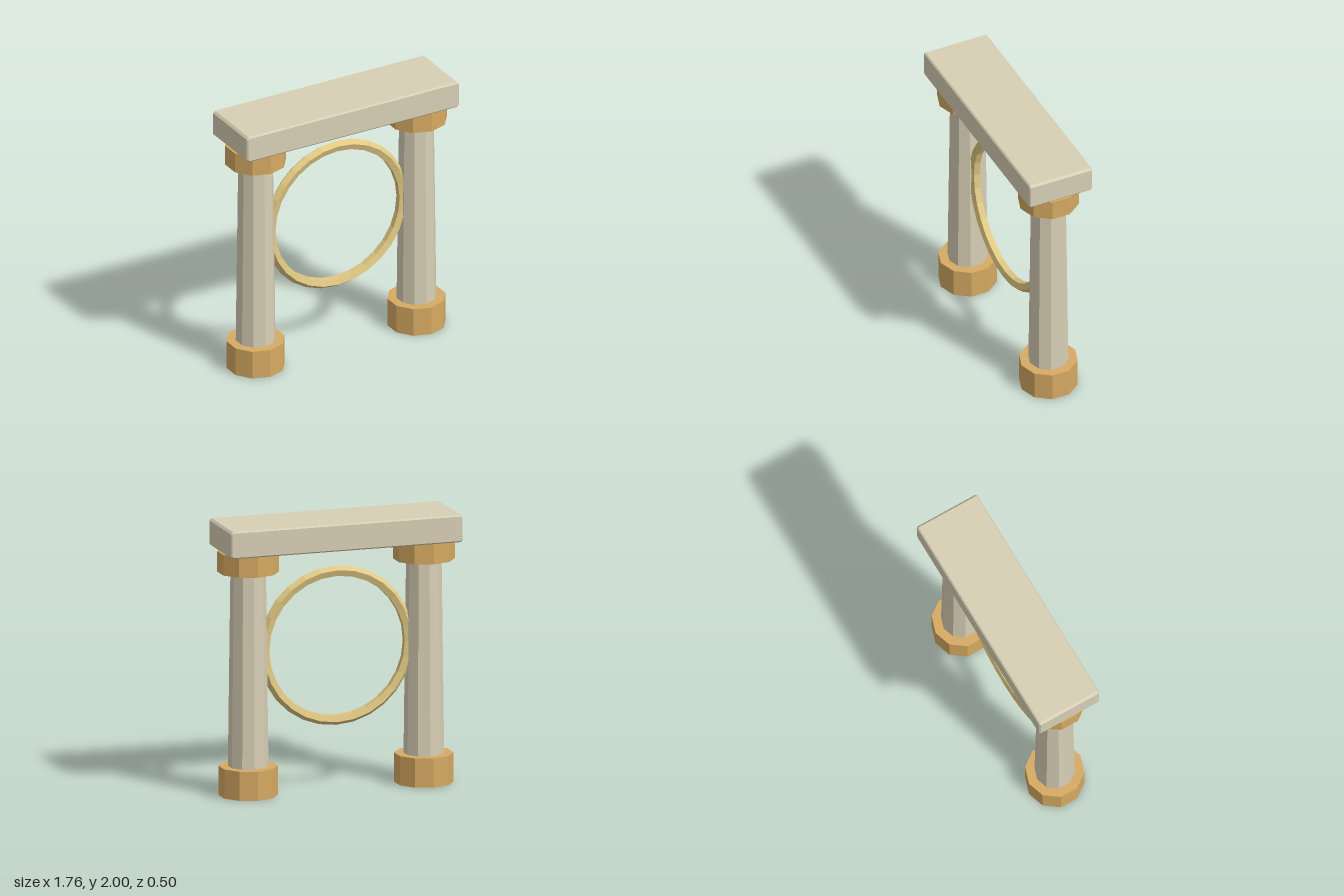
import * as THREE from 'three';

const material = (name, color) => {
  const m = new THREE.MeshStandardMaterial({ color, flatShading: true });
  m.name = name;
  return m;
};

export function createModel() {
  const stone = material('stone', 0xd8cfb5);
  const bronze = material('bronze', 0xd6aa62);
  const gold = material('gold', 0xe0c883);
  const model = new THREE.Group();
  model.name = 'gateway';

  const add = (parent, name, geometry, mat, y) => {
    const mesh = new THREE.Mesh(geometry, mat);
    mesh.name = name;
    mesh.position.y = y;
    parent.add(mesh);
  };

  // Ten-sided drum standing between two heights
  const drum = (parent, name, rTop, rBottom, y0, y1, mat) =>
    add(parent, name, new THREE.CylinderGeometry(rTop, rBottom, y1 - y0, 10), mat, (y0 + y1) / 2);

  // Mirrored pillars: base, tapered shaft, capital
  for (const side of [-1, 1]) {
    const pillar = new THREE.Group();
    pillar.name = side > 0 ? 'leftPillar' : 'rightPillar';
    pillar.position.x = side * 0.667;
    drum(pillar, 'base', 0.214, 0.214, 0, 0.215, bronze);
    drum(pillar, 'shaft', 0.128, 0.146, 0.215, 1.645, stone);
    drum(pillar, 'capital', 0.223, 0.223, 1.645, 1.797, bronze);
    model.add(pillar);
  }

  // Lintel slab with a narrow chamfer on every edge
  const c = 0.01, w = 0.88 - c, h = 0.1 - c;
  const outline = new THREE.Shape([
    [-w + c, -h], [w - c, -h], [w, -h + c], [w, h - c],
    [w - c, h], [-w + c, h], [-w, h - c], [-w, -h + c],
  ].map(([x, y]) => new THREE.Vector2(x, y)));
  const slab = new THREE.ExtrudeGeometry(outline, {
    depth: 0.48, bevelThickness: c, bevelSize: c, bevelSegments: 1,
  });
  slab.translate(0, 0, -0.24);
  add(model, 'lintel', slab, stone, 1.9);

  // Ring held between the pillars
  add(model, 'ring', new THREE.TorusGeometry(0.547, 0.04, 5, 28), gold, 1.053);

  return model;
}
